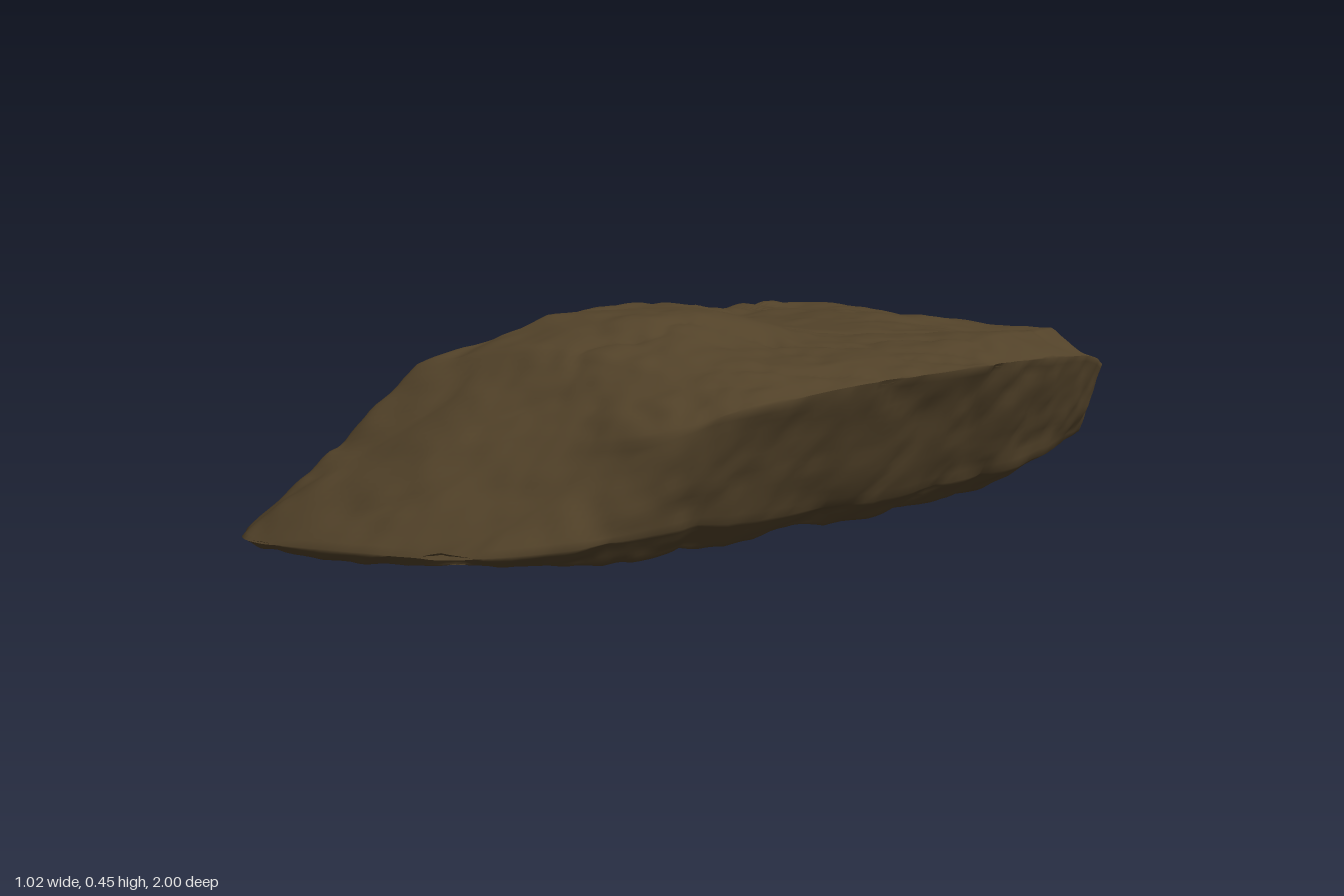
import * as THREE from 'three';

const stone = new THREE.MeshStandardMaterial({ color: 0x524229 });
stone.name = 'brown stone';

// Matching contour loops, counter-clockwise from the front tip: [x, y, z]
const foot = [
  [-.25, .01, .97], [0, .01, .87], [.2, .01, .71], [.31, .01, .48], [.32, .01, .3], [.32, .01, 0],
  [.32, .015, -.3], [.29, .015, -.53], [.21, .02, -.73], [.15, .03, -.84], [.02, .035, -.85],
  [-.18, .045, -.78], [-.41, .085, -.7], [-.41, .08, -.5], [-.3, .05, -.28], [-.28, .03, 0],
  [-.32, .02, .25], [-.41, .02, .52], [-.34, .01, .83],
];
const belly = [
  [-.25, .03, 1], [0, .035, .9], [.22, .04, .74], [.35, .06, .52], [.375, .07, .34], [.375, .06, .02],
  [.38, .065, -.3], [.355, .07, -.56], [.28, .08, -.81], [.2, .08, -.95], [.02, .09, -.98],
  [-.22, .1, -.88], [-.495, .13, -.735], [-.49, .13, -.5], [-.36, .14, -.28], [-.26, .2, 0],
  [-.28, .18, .25], [-.445, .06, .54], [-.36, .04, .87],
];
const rim = [
  [-.23, .15, .84], [0, .22, .68], [.17, .24, .53], [.35, .26, .42], [.44, .31, .28], [.49, .34, 0],
  [.505, .345, -.3], [.475, .335, -.52], [.36, .295, -.82], [.26, .24, -.95], [.03, .21, -.99],
  [-.22, .23, -.88], [-.475, .25, -.71], [-.465, .27, -.5], [-.39, .32, -.28], [-.34, .335, 0],
  [-.33, .33, .22], [-.25, .275, .52], [-.255, .17, .78],
];
const shoulder = [
  [-.19, .36, .6], [-.04, .4, .47], [.1, .395, .38], [.22, .372, .31], [.34, .365, .19], [.38, .37, -.02],
  [.38, .366, -.3], [.36, .37, -.5], [.28, .358, -.72], [.19, .325, -.86], [.02, .315, -.89],
  [-.17, .32, -.79], [-.37, .338, -.645], [-.37, .36, -.48], [-.3, .378, -.26], [-.23, .4, .02],
  [-.21, .415, .22], [-.22, .37, .48], [-.21, .355, .57],
];
// The crown is a hump ahead of the middle that drops away to the back and to the left
const { smoothstep } = THREE.MathUtils;
const crownHeight = (x, z) => 0.37 + 0.075 * smoothstep(z, -0.28, 0.06) * (1 - 0.85 * smoothstep(x, 0.06, 0.24));
const crown = shoulder.map(([x, , z]) => [x * 0.55, crownHeight(x * 0.55, z * 0.55), z * 0.55]);
const underside = foot.map(([x, , z]) => [x * 0.6, 0.02, z * 0.6]);
const point = (x, y, z) => foot.map(() => [x, y, z]);

// Seeded value noise
function hash(x, y, z) {
  let h = Math.imul(x, 374761393) ^ Math.imul(y, 668265263) ^ Math.imul(z, 2141568060);
  h = Math.imul(h ^ (h >>> 13), 1274126177);
  return ((h ^ (h >>> 16)) >>> 0) / 4294967295;
}
function noise(x, y, z) {
  const c = [x, y, z].map(Math.floor);
  const [u, v, w] = [x - c[0], y - c[1], z - c[2]].map((t) => t * t * (3 - 2 * t));
  const L = THREE.MathUtils.lerp;
  const row = (j, k) => L(hash(c[0], c[1] + j, c[2] + k), hash(c[0] + 1, c[1] + j, c[2] + k), u);
  return L(L(row(0, 0), row(1, 0), v), L(row(0, 1), row(1, 1), v), w);
}

// Weathering: broad lumps, slanted cracks and fine grain
function weathering(x, y, z) {
  const lumps = noise(x * 6 + 20, y * 8 + 20, z * 6 + 20) - 0.5;
  const s = noise((x + z * 0.6) * 9 + 40, y * 5 + 40, (z - x * 0.5) * 4 + 40);
  const cracks = 0.3 - Math.pow(1 - Math.abs(2 * s - 1), 4);
  const grain = noise(x * 26 + 70, y * 26 + 70, z * 26 + 70) - 0.5;
  return lumps * 0.014 + cracks * 0.009 + grain * 0.009;
}

function rockGeometry() {
  const around = 260;
  const loops = [point(0, .02, 0), underside, foot, belly, rim, shoulder, crown,
    point(.02, crownHeight(.02, -.06), -.06)];
  const steps = [8, 8, 8, 14, 16, 14, 14];
  const curves = loops.map((l) => new THREE.CatmullRomCurve3(
    l.map((p) => new THREE.Vector3(...p)), true, 'catmullrom', 0.4));
  const samples = curves.map((c) => Array.from({ length: around }, (_, i) => c.getPoint(i / around)));

  // Loft from the underside centre to the crown, weathering least at the two centres
  const pos = [], index = [], damp = [];
  const addRow = (a, b, t, d) => {
    for (let i = 0; i < around; i++) {
      const v = samples[a][i].clone().lerp(samples[b][i], t);
      if (a === 6) v.y = crownHeight(v.x, v.z);
      pos.push(v.x, v.y, v.z);
      damp.push(d);
    }
  };
  steps.forEach((n, s) => {
    for (let j = 0; j < n; j++) {
      const t = j / n;
      addRow(s, s + 1, t, s === 0 ? t * 0.3 : s === 1 ? 0.3 + 0.7 * t : s === 6 ? 1 - t * t : 1);
    }
  });
  addRow(7, 7, 0, 0);
  const rows = pos.length / 3 / around;
  for (let j = 0; j < rows - 1; j++) {
    for (let i = 0; i < around; i++) {
      const k = (i + 1) % around;
      const a = j * around + i, b = j * around + k;
      const c = a + around, d = b + around;
      if (j > 0) index.push(a, b, d);
      if (j < rows - 2) index.push(a, d, c);
    }
  }
  const g = new THREE.BufferGeometry();
  g.setAttribute('position', new THREE.Float32BufferAttribute(pos, 3));
  g.setIndex(index);
  g.computeVertexNormals();

  // Push the surface in and out along its normals
  const p = g.attributes.position, nrm = g.attributes.normal;
  for (let i = 0; i < p.count; i++) {
    const v = new THREE.Vector3().fromBufferAttribute(p, i);
    const n = new THREE.Vector3().fromBufferAttribute(nrm, i);
    v.addScaledVector(n, weathering(v.x, v.y, v.z) * damp[i]);
    p.setXYZ(i, v.x, Math.max(v.y, 0), v.z);
  }
  g.computeVertexNormals();
  return g;
}

export function createModel() {
  const group = new THREE.Group();
  group.name = 'rock';
  const boulder = new THREE.Mesh(rockGeometry(), stone);
  boulder.name = 'boulder';
  group.add(boulder);
  return group;
}
